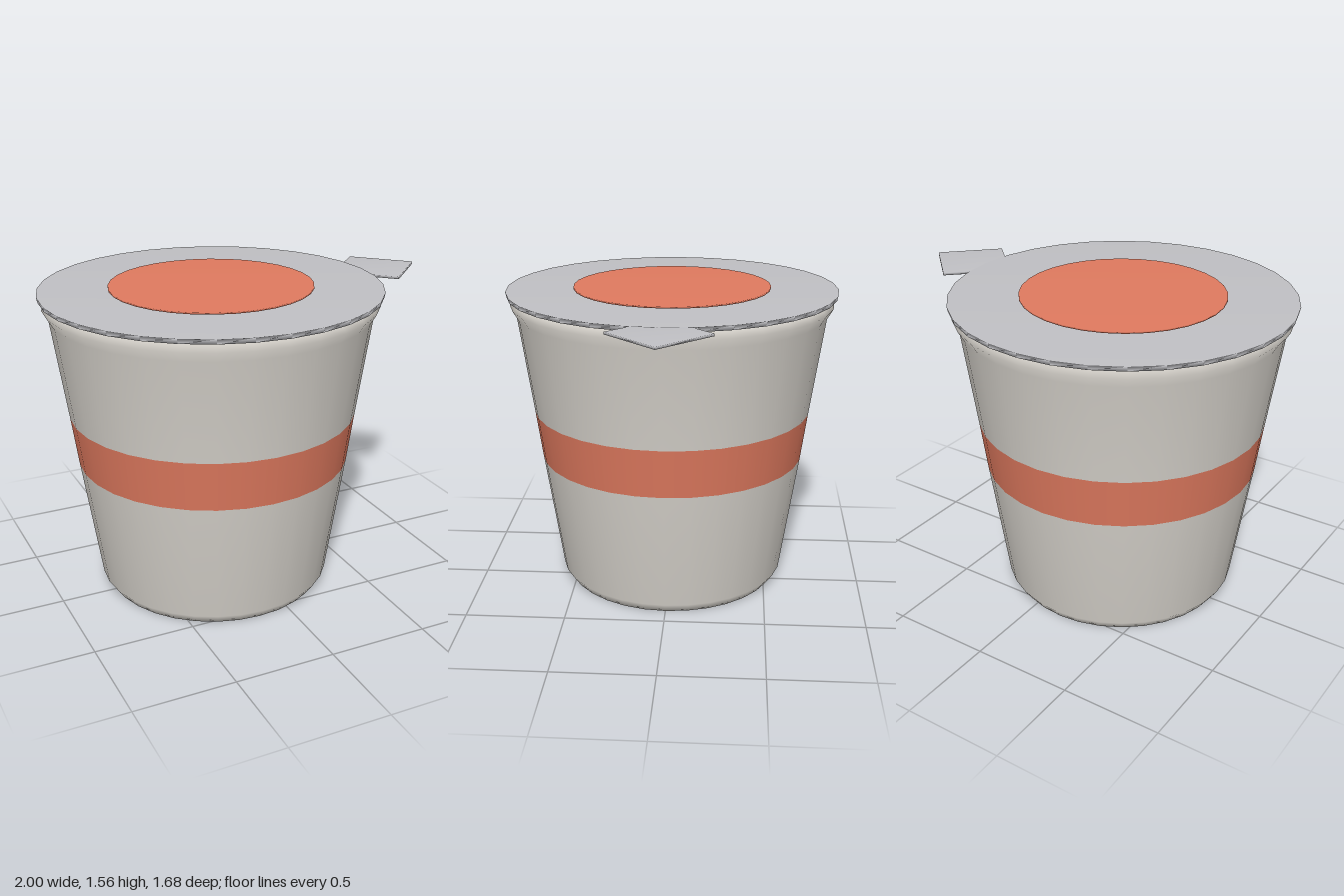
import * as THREE from 'three';
import { mergeVertices } from 'three/addons/utils/BufferGeometryUtils.js';

const SEGMENTS = 32;

export function createModel() {
  const model = new THREE.Group();
  model.name = 'lidded cup';

  const material = (name, color) => {
    const m = new THREE.MeshStandardMaterial({ color });
    m.name = name;
    return m;
  };
  const cupGrey = material('warm light grey', 0xd8d4cd);
  const foil = material('foil grey', 0xc0c0c4);
  const orange = material('terracotta orange', 0xe07a5f);

  const body = new THREE.Group();
  body.name = 'cup';
  body.position.x = -0.16;
  model.add(body);

  const add = (parent, name, geometry, mat) => {
    const mesh = new THREE.Mesh(geometry, mat);
    mesh.name = name;
    parent.add(mesh);
    return mesh;
  };

  // Turned section from [radius, height] pairs, bottom to top
  const turned = (name, profile, mat) =>
    add(body, name, new THREE.LatheGeometry(
      profile.map(([r, y]) => new THREE.Vector2(r, y)), SEGMENTS), mat);

  // Thin disc with soft shading rolling over its edge
  const disc = (parent, name, rTop, rBottom, y0, y1, sides, mat) => {
    const raw = new THREE.CylinderGeometry(rTop, rBottom, y1 - y0, sides);
    raw.deleteAttribute('normal');
    raw.deleteAttribute('uv');
    const geometry = mergeVertices(raw);
    geometry.computeVertexNormals();
    const mesh = add(parent, name, geometry, mat);
    mesh.position.y = (y0 + y1) / 2;
    return mesh;
  };

  // Tapered wall, split where the coloured band runs round it
  const bandBottom = [0.683, 0.675];
  const bandTop = [0.717, 0.925];
  turned('lowerWall', [[0, 0], [0.555, 0], [0.59, 0.05], bandBottom], cupGrey);
  turned('colourBand', [bandBottom, bandTop], orange);
  turned('upperWallAndRim',
    [bandTop, [0.79, 1.43], [0.82, 1.48], [0.795, 1.512], [0, 1.512]], cupGrey);

  // Foil lid with a round patch on top
  disc(body, 'lid', 0.84, 0.835, 1.523, 1.547, SEGMENTS, foil);
  disc(body, 'lidPatch', 0.5, 0.5, 1.552, 1.56, SEGMENTS, orange);

  // Diamond pull tab, half tucked under the lid edge
  const tab = disc(model, 'pullTab', 0.238, 0.238, 1.533, 1.545, 4, foil);
  tab.position.x = 0.762;

  return model;
}
